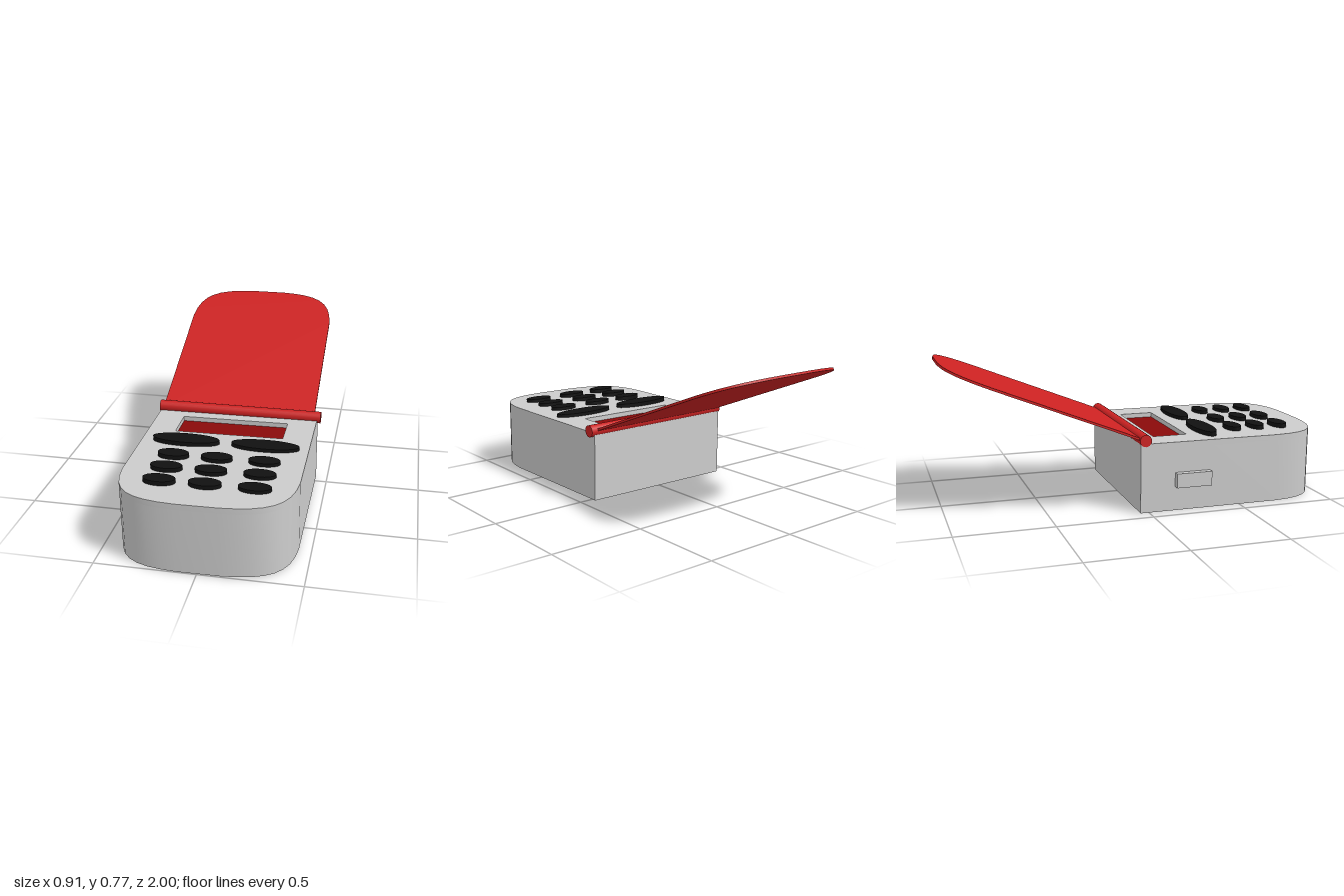
import * as THREE from 'three';
import { toCreasedNormals } from 'three/addons/utils/BufferGeometryUtils.js';

const material = (color) => new THREE.MeshStandardMaterial({ color });

// Straight-sided outline with a broadly rounded far end
function roundedOutline(halfWidth, start, bend, end) {
  const s = new THREE.Shape();
  const flat = 0.1, c1 = bend + (end - bend) * 0.75, c2 = end - 0.01;
  s.moveTo(-halfWidth, start);
  s.lineTo(halfWidth, start);
  s.lineTo(halfWidth, bend);
  s.bezierCurveTo(halfWidth - 0.013, c1, halfWidth * 0.76, c2, flat, end);
  s.lineTo(-flat, end);
  s.bezierCurveTo(-halfWidth * 0.76, c2, -halfWidth + 0.013, c1, -halfWidth, bend);
  s.closePath();
  return s;
}

function extrude(shape, depth) {
  const g = new THREE.ExtrudeGeometry(shape, { depth, bevelEnabled: false, curveSegments: 8 });
  return toCreasedNormals(g, 0.5);
}

export function createModel() {
  const model = new THREE.Group();
  model.name = 'flipPhone';
  const grey = material(0xcccccc), red = material(0xcc2222);
  const darkRed = material(0x8a0a0a), black = material(0x111111);

  function add(name, geometry, mat, x, y, z, parent = model) {
    const mesh = new THREE.Mesh(geometry, mat);
    mesh.name = name;
    mesh.position.set(x, y, z);
    parent.add(mesh);
    return mesh;
  }

  // Body, leaning very slightly sideways, with a pocket for the screen
  const body = new THREE.Group();
  body.name = 'body';
  body.position.set(0.007, 0.004, 0);
  body.rotation.z = 0.0095;
  model.add(body);
  const height = 0.36, pocket = 0.03;
  const lower = roundedOutline(0.432, -0.045, 0.71, 1);
  add('bodyLower', extrude(lower, height - pocket).rotateX(Math.PI / 2), grey, 0, height - pocket, 0, body);
  const upper = roundedOutline(0.432, -0.045, 0.71, 1);
  const hole = new THREE.Path();
  hole.moveTo(-0.285, 0.07);
  hole.lineTo(-0.285, 0.255);
  hole.lineTo(0.283, 0.255);
  hole.lineTo(0.283, 0.07);
  hole.closePath();
  upper.holes.push(hole);
  add('bodyUpper', extrude(upper, pocket).rotateX(Math.PI / 2), grey, 0, height, 0, body);
  add('screen', new THREE.BoxGeometry(0.568, 0.006, 0.185), darkRed, -0.001, height - pocket + 0.002, 0.1625, body);

  // Button on the side wall
  add('sideButton', new THREE.BoxGeometry(0.06, 0.075, 0.19), grey, -0.43, 0.163, 0.235);

  // Oval keys
  function key(name, x, z, rx, rz) {
    const g = new THREE.CylinderGeometry(1, 1, 0.04, 32).scale(rx, 1, rz);
    add(name, g, black, x, 0.364, z);
  }
  for (const x of [-0.195, 0.215]) key('wideKey', x, 0.372, 0.174, 0.053);
  for (const z of [0.541, 0.676, 0.809])
    for (const x of [-0.218, 0.002, 0.238]) key('key', x, z, 0.079, 0.041);

  // Hinge bar
  add('hinge', new THREE.CylinderGeometry(0.031, 0.031, 0.888, 20).rotateZ(Math.PI / 2), red, 0.01, 0.377, -0.02);

  // Opened cover, sloping up and back from the hinge
  const cover = extrude(roundedOutline(0.417, 0, 0.79, 1.054), 0.012)
    .translate(0, 0, -0.006).rotateX(-Math.PI / 2);
  add('cover', cover, red, 0.001, 0.374, -0.02).rotation.x = 0.379;

  return model;
}
